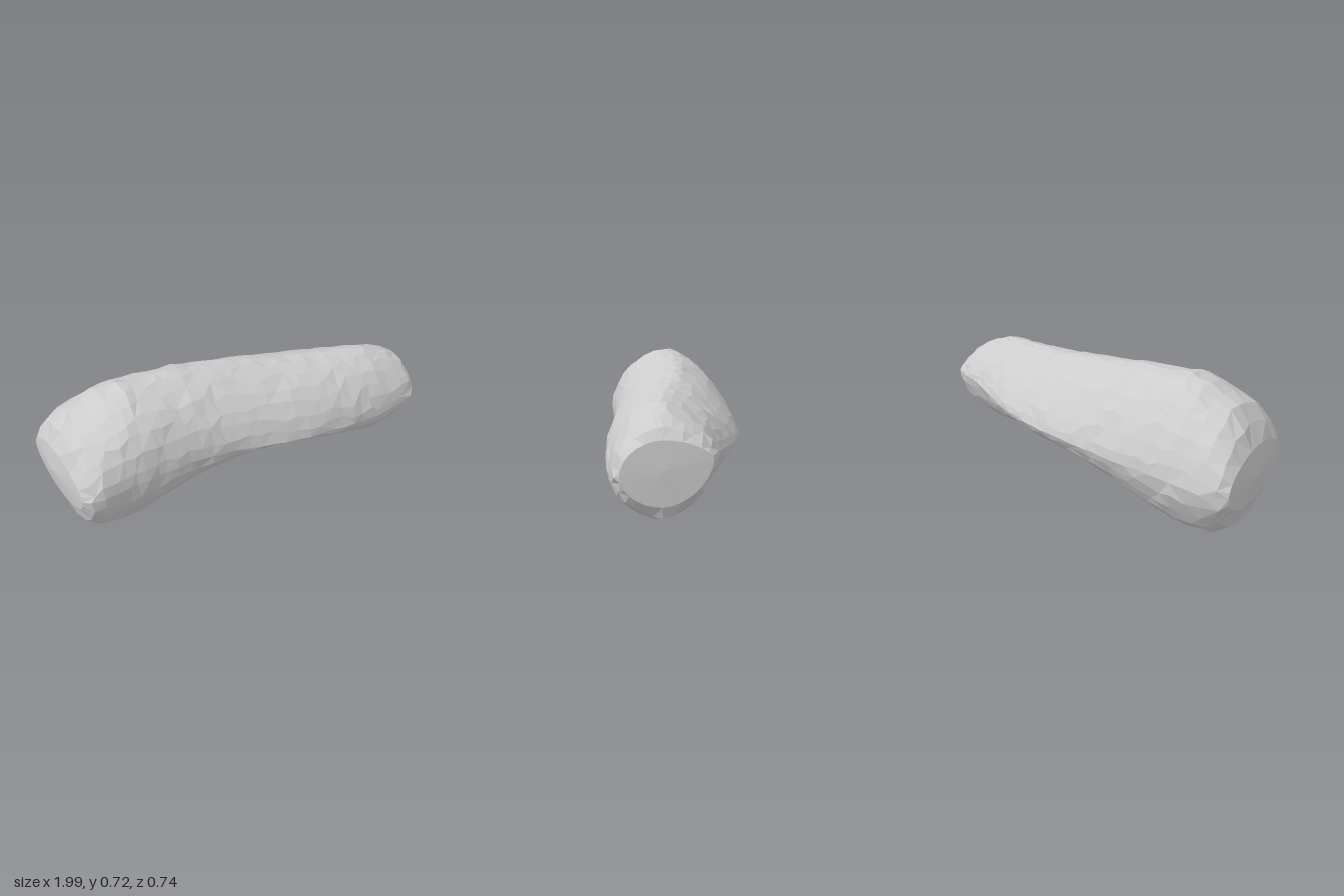
import * as THREE from 'three';

// Cross-sections along x:
// x, bottom y, top y, back z, front z, back ridge y, front ridge y, back roundness, front roundness
const stations = [
  [-0.953, 0.20, 0.47, -0.20, 0.33, 0.33, 0.35, 1.8, 1.9],
  [-0.91, 0.085, 0.56, -0.235, 0.365, 0.33, 0.36, 1.8, 1.9],
  [-0.84, 0.02, 0.635, -0.255, 0.37, 0.33, 0.37, 1.8, 1.95],
  [-0.70, 0.00, 0.70, -0.285, 0.35, 0.33, 0.38, 1.7, 2],
  [-0.60, 0.015, 0.725, -0.30, 0.335, 0.34, 0.38, 1.6, 2],
  [-0.30, 0.10, 0.705, -0.35, 0.29, 0.35, 0.38, 1.5, 1.85],
  [-0.10, 0.14, 0.68, -0.365, 0.275, 0.35, 0.36, 1.4, 1.75],
  [0.10, 0.15, 0.655, -0.37, 0.27, 0.35, 0.335, 1.4, 1.7],
  [0.30, 0.16, 0.625, -0.355, 0.27, 0.35, 0.315, 1.4, 1.7],
  [0.50, 0.125, 0.605, -0.32, 0.25, 0.36, 0.30, 1.45, 1.7],
  [0.73, 0.08, 0.585, -0.26, 0.215, 0.37, 0.29, 1.5, 1.7],
  [0.87, 0.115, 0.54, -0.255, 0.18, 0.38, 0.30, 1.6, 1.8],
  [0.94, 0.14, 0.505, -0.25, 0.155, 0.38, 0.31, 1.6, 1.8],
  [0.973, 0.19, 0.46, -0.235, 0.135, 0.38, 0.32, 1.7, 1.9],
];
const SIDES = 28;

// Small seeded generator for the chipped surface
let seed = 7;
const rough = (a) => {
  seed = (seed * 16807) % 2147483647;
  return (seed / 2147483647 - 0.5) * 2 * a;
};

// Subdivide between the stations
function makeSections() {
  const out = [];
  for (let i = 0; i < stations.length - 1; i++) {
    const a = stations[i], b = stations[i + 1];
    const n = Math.max(1, Math.round((b[0] - a[0]) / 0.06));
    for (let k = 0; k < n; k++) out.push(a.map((v, j) => v + (b[j] - v) * k / n));
  }
  out.push(stations[stations.length - 1]);
  return out;
}

function createStone() {
  const sections = makeSections(), positions = [], index = [];
  sections.forEach(([x, y0, y1, zb, zf, yb, yf, backRound, frontRound], i) => {
    const zc = (zb + zf) * 0.5 + 0.015 * x;
    // both ends are cut at a slant
    const skew = (x < 0 ? 0.235 : 0.19) * x * x;
    const atEnd = i === 0 || i === sections.length - 1;
    const amount = atEnd ? 0 : 0.004;
    // undercut below the front ridge, fuller underside behind the thick end
    const undercut = 0.45 * Math.exp(-(((x - 0.15) / 0.3) ** 2));
    const fuller = x < -0.4 ? 0.2 : 0.05;
    for (let j = 0; j < SIDES; j++) {
      // rounded diamond with a front and a back ridge
      const onRidge = j % (SIDES / 2) === 0;
      const t = ((j + (onRidge || atEnd ? 0 : rough(0.25))) / SIDES) * Math.PI * 2;
      const c = Math.cos(t), s = Math.sin(t), front = c >= 0, top = s >= 0;
      const p = 2 / (front ? frontRound - (top ? 0 : undercut) : backRound + (top ? 0 : fuller));
      const ridge = front ? yf : yb;
      const z = zc + ((front ? zf : zb) - zc) * Math.abs(c) ** p;
      const y = ridge + ((top ? y1 : y0) - ridge) * Math.abs(s) ** p;
      positions.push(x + skew * z + rough(amount * 3),
        Math.max(0, y + rough(amount)), z + rough(amount));
    }
  });
  for (let i = 0; i < sections.length - 1; i++) {
    for (let j = 0; j < SIDES; j++) {
      const k = (j + 1) % SIDES;
      const a = i * SIDES + j, d = i * SIDES + k, b = a + SIDES, e = d + SIDES;
      if ((i + j) % 2) index.push(a, b, d, b, e, d);
      else index.push(a, b, e, a, e, d);
    }
  }
  // close both ends with shallow domes
  const last = (sections.length - 1) * SIDES, tip = last + SIDES;
  positions.push(-0.965, 0.34, 0.04, 0.973, 0.34, -0.04);
  for (let j = 0; j < SIDES; j++) {
    const k = (j + 1) % SIDES;
    index.push(tip, j, k, tip + 1, last + k, last + j);
  }
  const geometry = new THREE.BufferGeometry();
  geometry.setAttribute('position', new THREE.Float32BufferAttribute(positions, 3));
  geometry.setIndex(index);
  const flat = geometry.toNonIndexed();
  flat.computeVertexNormals();
  return flat;
}

export function createModel() {
  const group = new THREE.Group();
  group.name = 'stone';
  const grey = new THREE.MeshStandardMaterial({ color: 0xcccccc, flatShading: true });
  grey.name = 'pale grey';
  const body = new THREE.Mesh(createStone(), grey);
  body.name = 'stoneBody';
  group.add(body);
  return group;
}
